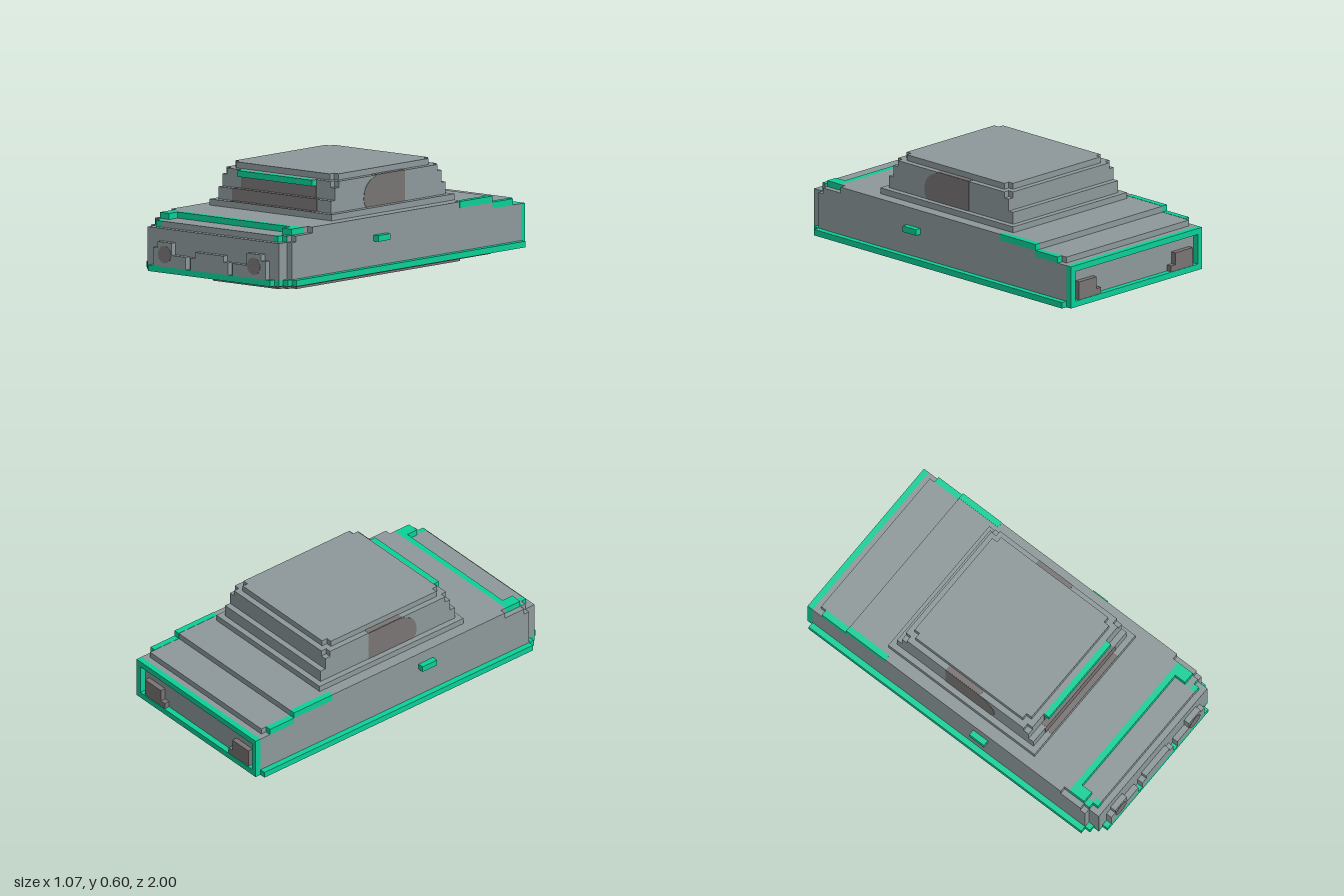
import * as THREE from 'three';

const U = 1 / 30; // one block
const mat = (name, color, side = THREE.FrontSide) => {
  const m = new THREE.MeshStandardMaterial({ color, side });
  m.name = name;
  return m;
};

export function createModel() {
  const car = new THREE.Group();
  car.name = 'blockCar';
  const grey = mat('bodyGrey', 0x8e999b);
  const dark = mat('darkGrey', 0x787574);
  const green = mat('trimGreen', 0x0bd098);

  const add = (name, geo, m) => {
    const mesh = new THREE.Mesh(geo, m);
    mesh.name = name;
    car.add(mesh);
    return mesh;
  };

  // Box between two corners, in blocks
  const box = (name, m, x0, x1, y0, y1, z0, z1) => {
    const g = new THREE.BoxGeometry((x1 - x0) * U, (y1 - y0) * U, (z1 - z0) * U);
    g.translate((x0 + x1) / 2 * U, (y0 + y1) / 2 * U, (z0 + z1) / 2 * U);
    return add(name, g, m);
  };
  const pair = (name, m, x0, x1, ...rest) => {
    box(name + 'Left', m, x0, x1, ...rest);
    box(name + 'Right', m, -x1, -x0, ...rest);
  };

  // Horizontal slab whose corners are cut in steps of one block
  const slab = (name, m, hx, y0, y1, z0, z1, front = 0, back = 0) => {
    const half = [];
    for (let i = back; i >= 0; i--) {
      if (i < back) half.push([hx - i, z0 + back - i - 1]);
      half.push([hx - i, z0 + back - i]);
    }
    // walk the back corner outwards, then the front corner inwards
    half.length = 0;
    for (let i = back; i >= 0; i--) {
      half.push([hx - i, z0 + back - i]);
      if (i > 0) half.push([hx - i, z0 + back - i + 1]);
    }
    for (let i = 0; i <= front; i++) {
      if (i > 0) half.push([hx - i, z1 - front + i - 1]);
      half.push([hx - i, z1 - front + i]);
    }
    const all = [...half, ...half.map(([x, z]) => [-x, z]).reverse()];
    const shape = new THREE.Shape(all.map(([x, z]) => new THREE.Vector2(x * U, -z * U)));
    const g = new THREE.ExtrudeGeometry(shape, { depth: (y1 - y0) * U, bevelEnabled: false });
    g.rotateX(-Math.PI / 2).translate(0, y0 * U, 0);
    return add(name, g, m);
  };

  // Underside
  slab('lowerSkid', dark, 9, 0, 1, -23, 21, 2, 2);
  slab('upperSkid', dark, 12, 1, 2, -27, 25, 2, 2);
  slab('floorPlate', grey, 15, 1.95, 2.05, -29, 28, 3, 0);
  slab('lowerTrim', green, 16, 2, 3, -30, 30, 3, 1);

  // Main body
  box('body', grey, -15, 15, 3, 9, -29, 27);
  box('nose', grey, -14, 14, 3, 9, 27, 29);
  slab('shoulder', grey, 15, 9, 10, -28, 27, 1, 1);
  box('hoodLip', grey, -12, 12, 9, 10, 27, 28);
  slab('deck', grey, 15, 10, 11, -22, 23, 1, 0);

  // Hood bar with arms stepping down at the front
  box('hoodBar', green, -14, 14, 10, 11, 23, 24);
  pair('hoodBarArm', green, 12, 14, 10, 11, 24, 26);
  pair('hoodBarTip', green, 12, 14, 9, 10, 26.05, 27.05);
  pair('hoodBarEnd', green, 12, 13, 9, 10, 27, 28.05);

  // Front relief and headlights
  box('grille', grey, -4, 4, 3, 5, 29, 30);
  box('grilleTop', grey, -3, 3, 5, 6, 29, 30);
  pair('headlightHousing', grey, 8, 12, 3, 6, 29, 30);
  pair('headlightBrow', grey, 8, 11, 6, 7, 29, 30);
  pair('headlightStep', grey, 5, 8, 3, 5, 29, 30);
  for (const s of [-1, 1]) {
    const g = new THREE.CylinderGeometry(0.047, 0.047, 0.006, 12);
    g.rotateX(Math.PI / 2).translate(s * 9.5 * U, 5 * U, 30 * U - 0.001);
    add('headlight', g, dark);
  }

  // Rear frame and tail lights
  box('rearTopRail', green, -15, 15, 8, 9, -30, -29);
  pair('rearPost', green, 14, 15, 3, 8, -30, -29);
  pair('tailLight', dark, 9, 13, 3, 6, -29.9, -29);
  pair('tailLightStep', dark, 8, 9, 3, 4, -29.9, -29);

  // Painted rear fender edges
  pair('fenderStripe', green, 14, 15.04, 10, 11.04, -22.04, -14);
  pair('fenderStripeLow', green, 14, 15.04, 9, 10.04, -27.04, -22);

  // Door handles, one block higher on the right
  box('handleLeft', green, 15, 16, 7, 8, 4, 7);
  box('handleRight', green, -16, -15, 8, 9, 4, 7);

  // Cabin
  box('cabinBase', grey, -13, 13, 11, 12, -15, 15);
  box('cabinLower', grey, -12, 12, 12, 14, -14, 14);
  box('cabinUpper', grey, -12, 12, 14, 16, -13, 13);
  slab('cabinTop', grey, 12, 16, 17, -13, 13, 1, 1);
  slab('roof', grey, 11, 17, 18, -12, 12, 1, 1);
  box('roofBar', green, -8, 8, 16, 17, 13, 14);

  // Windscreen plates over the stepped cabin front
  box('windscreenSill', dark, -8.5, 8.5, 12, 12.06, 14, 15);
  box('windscreenLower', dark, -9, 9, 12, 14, 14, 14.06);
  box('windscreenLedge', dark, -8.7, 8.7, 14, 14.06, 13, 14.06);
  box('windscreenUpper', dark, -8, 8, 14, 16, 13, 13.06);

  // Side windows, rounded at the front
  const win = new THREE.Shape();
  win.moveTo(-4, 12);
  win.lineTo(5.2, 12);
  win.quadraticCurveTo(6, 12.3, 6, 13.5);
  win.quadraticCurveTo(6, 16.3, 2.5, 17);
  win.lineTo(-4, 17);
  win.closePath();
  for (const s of [-1, 1]) {
    const g = new THREE.ExtrudeGeometry(win, { depth: 0.12, bevelEnabled: false, curveSegments: 6 });
    g.scale(U, U, U).rotateY(-Math.PI / 2); // shape x becomes z
    g.translate(s * 12 * U + 0.002, 0, 0);
    add('sideWindow', g, dark);
  }
  pair('sideWindowTop', dark, 11, 12, 17, 17.05, -4, 3);

  return car;
}
